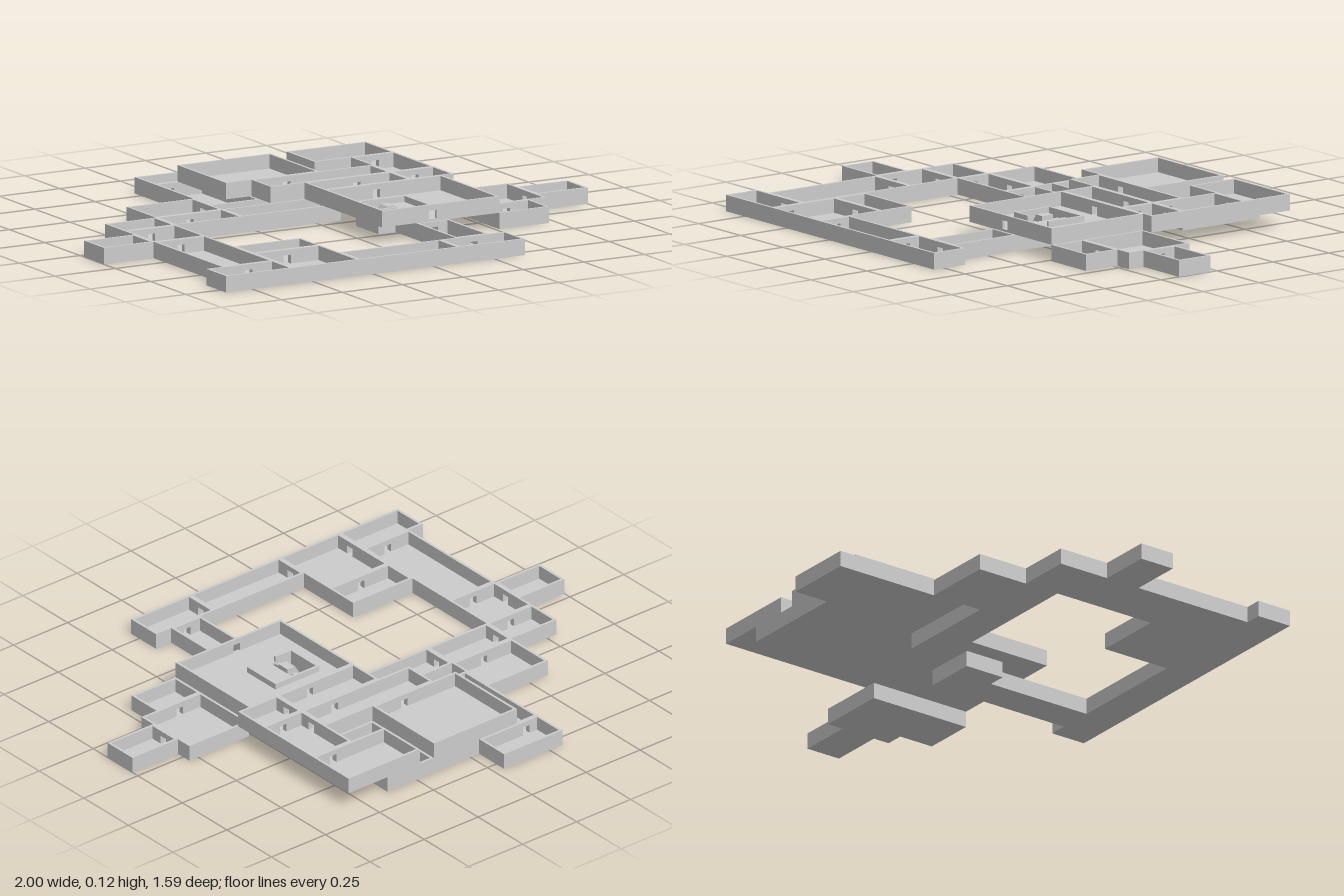
import * as THREE from 'three';

const mat = new THREE.MeshStandardMaterial({ color: 0xcccccc, flatShading: true, side: THREE.DoubleSide });
const H = 0.06, T = 0.01, F = 0.008, DOOR_W = 0.03, DOOR_H = 0.04;

function box(parent, name, x0, x1, y0, y1, z0, z1) {
  const m = new THREE.Mesh(new THREE.BoxGeometry(x1 - x0, y1 - y0, z1 - z0), mat);
  m.position.set((x0 + x1) / 2, (y0 + y1) / 2, (z0 + z1) / 2);
  m.name = name;
  parent.add(m);
}

// A straight wall drawn as an outline with doorway holes cut out of it
function wall(parent, name, length, doors) {
  const s = new THREE.Shape();
  s.moveTo(0, 0);
  s.lineTo(length, 0);
  s.lineTo(length, H);
  s.lineTo(0, H);
  s.closePath();
  for (const d of doors) {
    const h = new THREE.Path();
    h.moveTo(d - DOOR_W / 2, F);
    h.lineTo(d - DOOR_W / 2, DOOR_H);
    h.lineTo(d + DOOR_W / 2, DOOR_H);
    h.lineTo(d + DOOR_W / 2, F);
    h.closePath();
    s.holes.push(h);
  }
  const m = new THREE.Mesh(new THREE.ExtrudeGeometry(s, { depth: T, bevelEnabled: false }), mat);
  m.name = name;
  parent.add(m);
  return m;
}

// Open-topped room: floor and four walls; doors list positions along n, s (x) and w, e (z)
function room(parent, name, x0, x1, z0, z1, level = 0, doors = {}, floor = true) {
  const g = new THREE.Group(), y = level * H;
  g.name = name;
  if (floor) box(g, 'floor', x0, x1, y, y + F, z0, z1);
  const alongX = (side) => (doors[side] || []).map((p) => p - x0);
  const alongZ = (side) => (doors[side] || []).map((p) => z1 - p);
  wall(g, 'backWall', x1 - x0, alongX('n')).position.set(x0, y, z0);
  wall(g, 'frontWall', x1 - x0, alongX('s')).position.set(x0, y, z1 - T);
  for (const [side, x, label] of [['w', x0, 'rightWall'], ['e', x1 - T, 'leftWall']]) {
    const m = wall(g, label, z1 - z0, alongZ(side));
    m.rotation.y = Math.PI / 2;
    m.position.set(x, y, z1);
  }
  parent.add(g);
}

export function createModel() {
  const model = new THREE.Group();
  model.name = 'floorPlan';

  // Lower storey
  const lower = new THREE.Group();
  lower.name = 'lowerStorey';
  model.add(lower);
  room(lower, 'northRoom', -0.31, -0.04, -0.795, -0.655, 0, { s: [-0.25] });
  room(lower, 'northGallery', -0.31, -0.11, -0.655, -0.25, 0, { n: [-0.25], w: [-0.3] });
  room(lower, 'northCellar', -0.11, 0.17, -0.655, -0.31, 0, { e: [-0.4] });
  room(lower, 'backCellar', 0.17, 0.385, -0.655, -0.45, 0, { s: [0.28] });
  room(lower, 'lightWell', 0.17, 0.385, -0.45, -0.31, 0, { n: [0.28], w: [-0.4] });
  room(lower, 'northWestRoom', -0.585, -0.31, -0.38, -0.175, 0, { s: [-0.45], e: [-0.3] });
  room(lower, 'cornerPassage', -0.795, -0.585, -0.175, -0.035, 0, { e: [-0.1], s: [-0.69] });
  room(lower, 'westPassage', -0.585, -0.31, -0.175, -0.035, 0, { n: [-0.45], w: [-0.1], e: [-0.1] });
  room(lower, 'middlePassage', -0.31, 0.1, -0.175, -0.035, 0, { w: [-0.1] });
  room(lower, 'westRoom', -0.795, -0.585, -0.035, 0.175, 0, { n: [-0.69], s: [-0.69], w: [0.1] });
  room(lower, 'westHall', -0.795, -0.585, 0.175, 0.655, 0, { n: [-0.69], s: [-0.69] });
  room(lower, 'westAnnex', -1, -0.795, 0.03, 0.17, 0, { e: [0.1] });
  room(lower, 'southWestRoom', -0.86, -0.585, 0.655, 0.795, 0, { n: [-0.69], e: [0.72] });
  room(lower, 'southRoom', -0.585, -0.31, 0.515, 0.795, 0, { n: [-0.45], w: [0.72], e: [0.72] });
  room(lower, 'courtRoom', -0.585, -0.31, 0.38, 0.515, 0, { s: [-0.45] });
  room(lower, 'southPassage', -0.31, 0.105, 0.655, 0.795, 0, { w: [0.72], e: [0.72] });
  room(lower, 'southEastRoom', 0.105, 0.375, 0.655, 0.795, 0, { w: [0.72], n: [0.24] });
  room(lower, 'stairPassage', 0.17, 0.305, 0.375, 0.655, 0, { s: [0.24], n: [0.24] });
  room(lower, 'stairHall', 0.17, 0.305, 0.07, 0.375, 0, { s: [0.24], w: [0.15] });
  room(lower, 'stairFoot', 0.1, 0.17, 0.07, 0.23, 0, { e: [0.15] });
  room(lower, 'eastRoom', 0.515, 0.79, -0.035, 0.235, 0, { e: [0.1], s: [0.62] });
  room(lower, 'eastCloset', 0.515, 0.72, 0.235, 0.375, 0, { n: [0.62] });
  room(lower, 'eastAnnex', 0.79, 1, 0.03, 0.17, 0, { w: [0.1] });

  // Upper storey
  const upper = new THREE.Group();
  upper.name = 'upperStorey';
  model.add(upper);
  room(upper, 'greatHall', -0.215, 0.17, -0.655, -0.31, 1, { s: [0.03] });
  room(upper, 'backRoom', 0.235, 0.565, -0.655, -0.455, 1, { s: [0.48] });
  room(upper, 'sideRoom', 0.385, 0.565, -0.455, -0.175, 1, { n: [0.48], s: [0.48], w: [-0.24] });
  room(upper, 'longRoom', -0.11, 0.385, -0.31, -0.175, 1, { n: [0.03], s: [0.24], e: [-0.24] });
  room(upper, 'upperPassage', 0.03, 0.385, -0.175, -0.035, 1, { n: [0.24], s: [0.24], e: [-0.1] });
  room(upper, 'upperCorner', 0.385, 0.565, -0.175, -0.035, 1, { n: [0.48], w: [-0.1] });
  room(upper, 'centreRoom', 0.03, 0.515, -0.035, 0.375, 1, { n: [0.24], s: [0.24] }, false);

  // Centre room floor, left open over the stair
  const [hx0, hx1, hz0, hz1] = [0.11, 0.2, 0.08, 0.22];
  box(upper, 'centreFloor', 0.03, hx0, H, H + F, -0.035, 0.375);
  box(upper, 'centreFloor', hx1, 0.515, H, H + F, -0.035, 0.375);
  box(upper, 'centreFloor', hx0, hx1, H, H + F, -0.035, hz0);
  box(upper, 'centreFloor', hx0, hx1, H, H + F, hz1, 0.375);

  // Low parapet around the stair
  const p0 = H, p1 = H + 0.03;
  box(upper, 'parapet', 0.1, 0.305, p0, p1, 0.07, 0.08);
  box(upper, 'parapet', 0.1, 0.11, p0, p1, 0.08, 0.23);
  box(upper, 'parapet', 0.11, 0.18, p0, p1, 0.22, 0.23);
  box(upper, 'parapet', 0.295, 0.305, p0, p1, 0.08, 0.23);

  // Stair wedge and landing
  const ramp = new THREE.Shape([[0.11, 0], [0.2, 0], [0.2, 0.085], [0.165, 0.085]].map(([x, y]) => new THREE.Vector2(x, y)));
  const stair = new THREE.Mesh(new THREE.ExtrudeGeometry(ramp, { depth: 0.05, bevelEnabled: false }), mat);
  stair.position.z = 0.13;
  stair.name = 'stair';
  model.add(stair);

  return model;
}
